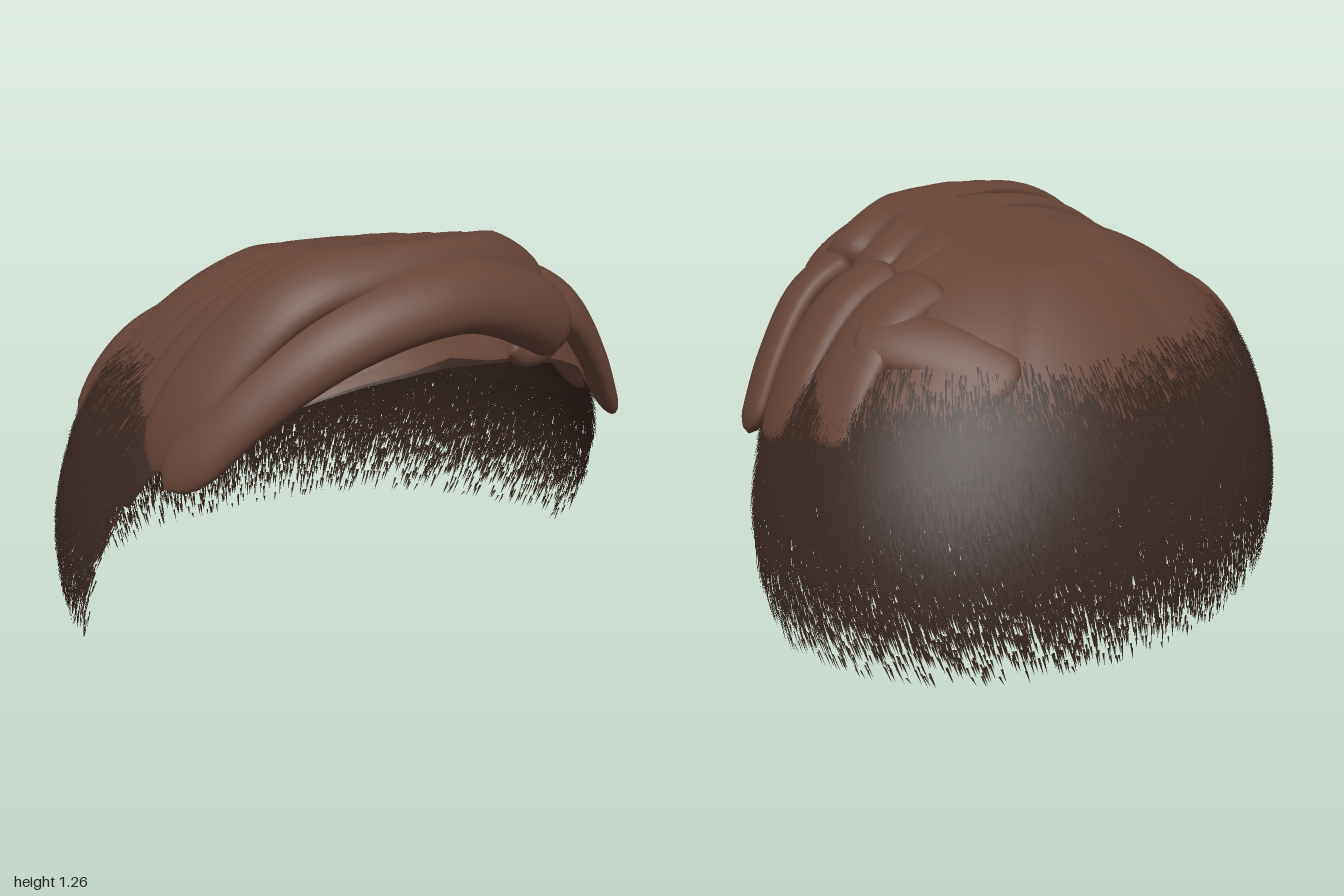
import * as THREE from 'three';

const V = (x, y, z) => new THREE.Vector3(x, y, z);
const clamp = THREE.MathUtils.clamp;

// Scalp ellipsoid and the sloping plane that trims the top flat
const CY = 0.25, CZ = 0.05, RX = 0.99, RY = 0.95, RZ = 0.8;
const topAt = (z) => 1.179 + 0.154 * z;
const trim = (p) => { p.y = clamp(p.y, 0, topAt(p.z)); return p; };

// Point on the scalp: angle a runs from the back (0) to the front (PI)
function scalp(a, y, off = 0) {
  const k = clamp((y - CY) / RY, -1, 1), s = Math.sqrt(1 - k * k);
  const p = V(RX * s * Math.sin(a), y, CZ - RZ * s * Math.cos(a));
  const n = V(p.x / RX ** 2, (y - CY) / RY ** 2, (p.z - CZ) / RZ ** 2).normalize();
  return p.addScaledVector(n, off);
}

// Widest angle allowed by the hairline at height y
function hairline(y) {
  const z = y > 0.62 ? 0.33 + (y - 0.62) * 1.1 : 0.12 + (y - 0.05) * 0.37;
  const k = (y - CY) / RY, s = Math.sqrt(Math.max(1e-6, 1 - k * k));
  return Math.acos(clamp((CZ - z) / (RZ * s), -1, 1));
}

function gridGeometry(rows, cols, wrap, point) {
  const pos = [], idx = [], n = wrap ? cols : cols + 1;
  for (let i = 0; i <= rows; i++)
    for (let j = 0; j < n; j++) pos.push(...trim(point(i / rows, j / cols)).toArray());
  for (let i = 0; i < rows; i++)
    for (let j = 0; j < cols; j++) {
      const a = i * n + j, b = i * n + (j + 1) % n, c = b + n, d = a + n;
      if (wrap) idx.push(a, b, c, a, c, d);
      else idx.push(a, d, c, a, c, b);
    }
  const g = new THREE.BufferGeometry();
  g.setAttribute('position', new THREE.Float32BufferAttribute(pos, 3));
  g.setIndex(idx);
  g.computeVertexNormals();
  return g;
}

// Band of scalp from height y0 up to the crown, raised by offset(u, angle)
function shell(y0, cols, offset) {
  const f0 = Math.asin((y0 - CY) / RY);
  return gridGeometry(36, cols, false, (u, v) => {
    const y = CY + RY * Math.sin(f0 + (Math.PI / 2 - f0) * u);
    const a = (v * 2 - 1) * hairline(y);
    return scalp(a, y, offset(u, a));
  });
}

// Lock of hair: oval section swept along a curve, widths and depths eased from root to tip
function lock(points, w0, w1, d0, d1) {
  const curve = new THREE.CatmullRomCurve3(points.map((p) => V(...p)));
  const E = 0.1;
  return gridGeometry(48, 28, true, (u, v) => {
    const p = curve.getPoint(u), t = curve.getTangent(u);
    const n = p.clone().sub(V(0, 0.3, 0));
    n.addScaledVector(t, -n.dot(t)).normalize();
    const b = t.clone().cross(n);
    const e = Math.max(0, 1 - Math.min(u, 1 - u) / E);
    const round = Math.max(0.02, Math.sqrt(1 - e * e)), a = v * Math.PI * 2;
    return p.addScaledVector(n, Math.cos(a) * (d0 + (d1 - d0) * u) * round)
      .addScaledVector(b, Math.sin(a) * (w0 + (w1 - w0) * u) * round);
  });
}

// Fine clipped hairs, thinning out at the nape and fading out upwards
function stubble(count) {
  let seed = 7;
  const rnd = () => (seed = (seed * 16807) % 2147483647) / 2147483647;
  const pos = [];
  for (let i = 0; i < count; i++) {
    const y = 0.02 + rnd() * 0.93;
    const keep = Math.min(clamp(y / 0.45, 0, 1) ** 1.7, 1 - clamp((y - 0.62) / 0.32, 0, 1));
    const a = (rnd() * 2 - 1) * (hairline(y) - rnd() * 0.05);
    const len = 0.03 + rnd() * 0.03;
    const off = rnd() * 0.01 + 0.016 * clamp((y - 0.6) / 0.2, 0, 1);
    if (rnd() > keep || scalp(a, y).z > 0.36) continue;
    const h = 0.0042, tipA = a - Math.sin(a) * len * 0.45;
    const l = scalp(a - h, y, off - 0.004), r = scalp(a + h, y, off - 0.004);
    const tip = scalp(tipA, Math.max(0.003, y - len), off + 0.003);
    for (const p of [r, l, tip]) pos.push(...trim(p).toArray());
  }
  const g = new THREE.BufferGeometry();
  g.setAttribute('position', new THREE.Float32BufferAttribute(pos, 3));
  g.computeVertexNormals();
  return g;
}

export function createModel() {
  const group = new THREE.Group();
  const brown = new THREE.MeshStandardMaterial({ color: 0x654437 });
  brown.name = 'brownHair';
  const dark = new THREE.MeshStandardMaterial({ color: 0x36251e, side: THREE.DoubleSide });
  dark.name = 'darkStubble';
  const add = (name, geo, mat = brown) => {
    const m = new THREE.Mesh(geo, mat);
    m.name = name;
    group.add(m);
  };

  // Crown with shallow grooves between its locks, dark lining beneath, faded stubble below
  const groove = (u, a) => 0.016 * Math.min(1, u * 4) * Math.abs(Math.sin(a * 4 + 0.6 + u * 0.4)) ** 0.35;
  add('crownCap', shell(0.64, 144, groove));
  add('innerLining', shell(0.52, 72, (u) => -0.012 - 0.05 * u ** 3), dark);
  add('fadedStubble', stubble(105000), dark);

  // Locks combed from the parting over the flat top and down the right side: z at top, at side, at tip
  [
    [0.49, 0.42, 0.35], [0.345, 0.28, 0.22], [0.2, 0.14, 0.09], [0.06, 0, -0.05], [-0.07, -0.15, -0.2],
  ].forEach(([z, zs, zt], i) => {
    const y = topAt(z) - 0.05;
    const tuck = i * 0.005;
    add('combedLock' + (i + 1), lock([
      [0.45, y - 0.16, z - 0.07], [0.33, y - 0.07, z - 0.04], [0.12, y, z + 0.01], [-0.15, y, z + 0.03],
      [-0.45, y - 0.07 - tuck * 2, z], [-0.69 + tuck, 0.91 - tuck, zs], [-0.84 - tuck * 0.5, 0.64 + tuck, zt],
    ], 0.13, 0.11, 0.09, 0.035));
  });

  // Rolled fringe and the small curl tucked under the parting
  add('fringeRoll', lock([
    [0.43, 0.95, 0.54], [0.28, 1.04, 0.6], [0, 1.11, 0.64], [-0.35, 1.03, 0.61],
    [-0.62, 0.85, 0.53], [-0.84, 0.61, 0.43],
  ], 0.15, 0.09, 0.12, 0.04));
  add('partingCurl', lock([[0.44, 0.98, 0.56], [0.39, 0.91, 0.6], [0.3, 0.89, 0.61], [0.24, 0.93, 0.6]], 0.05, 0.04, 0.045, 0.04));

  // Locks falling from the parting down the left side
  const side = [
    [[0.4, 1.06, 0.47], [0.55, 0.99, 0.48], [0.7, 0.82, 0.46], [0.84, 0.59, 0.42]],
    [[0.4, 1.08, 0.24], [0.58, 1.01, 0.24], [0.75, 0.84, 0.23], [0.88, 0.61, 0.21]],
    [[0.4, 1.08, 0.01], [0.58, 1.01, 0.01], [0.75, 0.85, -0.01], [0.87, 0.65, -0.03]],
  ];
  side.forEach((p, i) => add('sideLock' + (i + 1), lock(p, 0.14, 0.115, 0.075, 0.035)));

  // Lock sweeping from the left side towards the back
  add('sweptBackLock', lock([
    [0.67, 0.95, 0.02], [0.63, 0.97, -0.08], [0.55, 0.95, -0.24], [0.47, 0.86, -0.44],
  ], 0.1, 0.1, 0.06, 0.02));
  return group;
}
